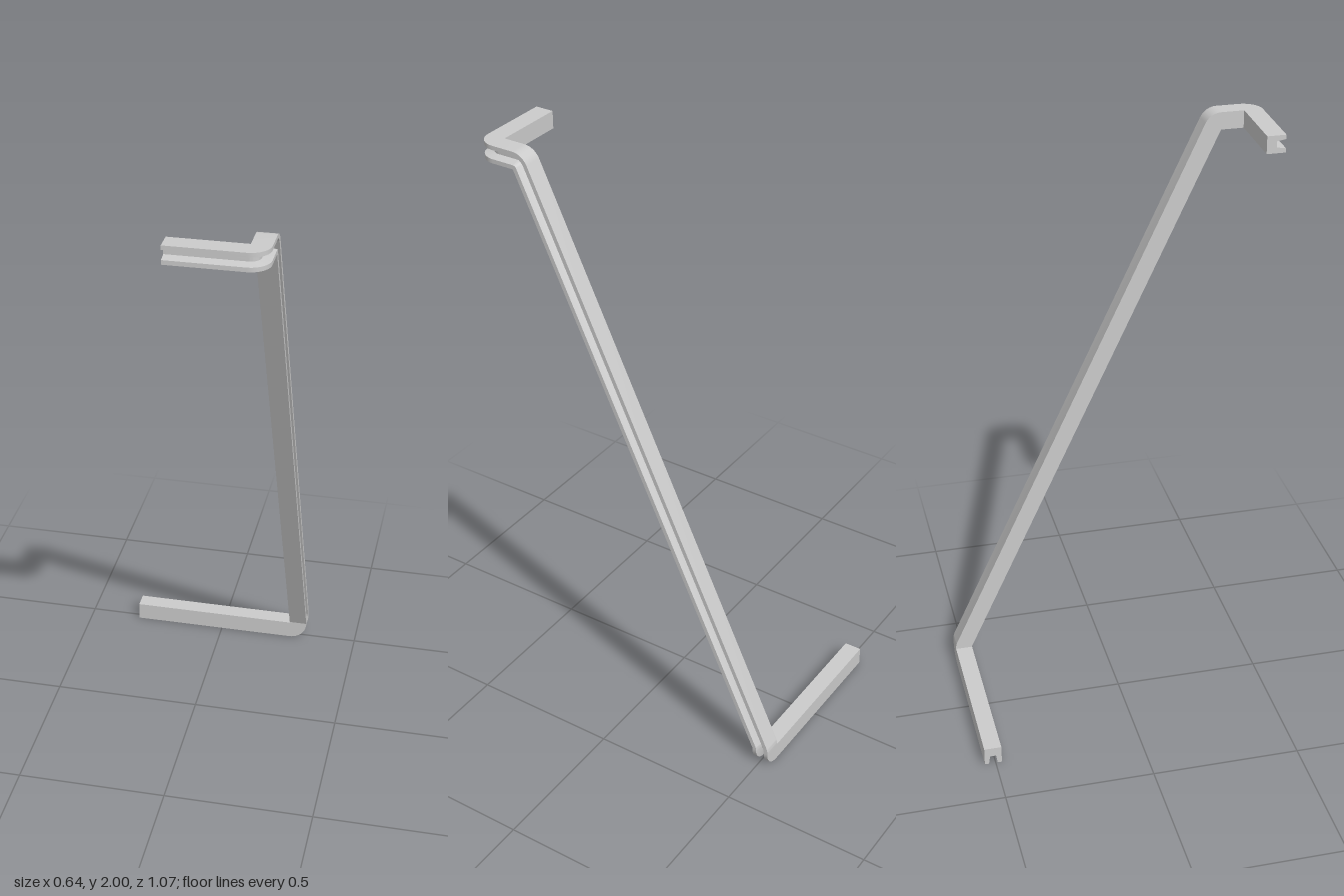
import * as THREE from 'three';
import { toCreasedNormals } from 'three/addons/utils/BufferGeometryUtils.js';

const W = 0.058, D = 0.062; // channel width and depth
const TILT = THREE.MathUtils.degToRad(65); // downward bend from the top piece to the long leg

// Channel cross-section: [across, depth], slot opening at full depth
const PROFILE = [
  [0, 0], [W, 0], [W, D], [W - 0.014, D], [W - 0.019, D - 0.03],
  [0.019, D - 0.03], [0.014, D], [0, D],
];

// Cross-section placed at an inner-edge origin with given axes
const ring = (origin, across, depth) => PROFILE.map(([a, b]) =>
  origin.clone().addScaledVector(across, a).addScaledVector(depth, b));

// Rings along the bent channel, from the upper end to the lower end
function channelRings() {
  const v = (x, y, z) => new THREE.Vector3(x, y, z);
  const X = v(1, 0, 0), Y = v(0, 1, 0), back = v(0, 0, -1);
  const xIn = 0.32 - D, yTop = 2 - W, zFront = 0.537 - D, zBack = -0.537 + W;
  const rings = [ring(v(0.017, yTop, zFront), Y, v(0, 0, 1))];
  const bend = (steps, from, to, make) => {
    for (let i = 0; i <= steps; i++) rings.push(make(from + (to - from) * i / steps));
  };
  // upper corner, turning toward the back
  bend(10, 0, Math.PI / 2, t =>
    ring(v(xIn, yTop, zFront), Y, v(Math.sin(t), 0, Math.cos(t))));
  // bend down into the long sloping leg
  const tilted = t => v(0, Math.cos(t), -Math.sin(t));
  bend(8, 0, TILT, t => ring(v(xIn, yTop, 0.4), tilted(t), X));
  // bend to vertical near the ground
  bend(4, TILT, Math.PI / 2, t => ring(v(xIn, 0.065, zBack), tilted(t), X));
  // lower corner, turning to the side
  bend(10, 0, Math.PI / 2, t =>
    ring(v(xIn, D, zBack), back, v(Math.cos(t), -Math.sin(t), 0)));
  rings.push(ring(v(-0.32, D, zBack), back, v(0, -1, 0)));
  return rings;
}

// Skin the rings and close both ends
function skin(rings) {
  const pos = [], n = PROFILE.length, tri = new THREE.Triangle();
  const add = (a, b, c) => {
    if (tri.set(a, b, c).getArea() > 1e-9) for (const p of [a, b, c]) pos.push(p.x, p.y, p.z);
  };
  for (let i = 0; i < rings.length - 1; i++) {
    const r = rings[i], s = rings[i + 1];
    for (let j = 0; j < n; j++) {
      const k = (j + 1) % n;
      add(r[j], r[k], s[k]);
      add(r[j], s[k], s[j]);
    }
  }
  const first = rings[0], last = rings[rings.length - 1];
  const faces = THREE.ShapeUtils.triangulateShape(PROFILE.map(p => new THREE.Vector2(...p)), []);
  for (const [a, b, c] of faces) {
    add(first[a], first[c], first[b]);
    add(last[a], last[b], last[c]);
  }
  const geometry = new THREE.BufferGeometry();
  geometry.setAttribute('position', new THREE.Float32BufferAttribute(pos, 3));
  return toCreasedNormals(geometry, 0.4);
}

export function createModel() {
  const group = new THREE.Group();
  group.name = 'bentChannelFrame';
  const mesh = new THREE.Mesh(skin(channelRings()),
    new THREE.MeshStandardMaterial({ color: 0xcccccc }));
  mesh.name = 'slottedChannel';
  group.add(mesh);
  return group;
}
